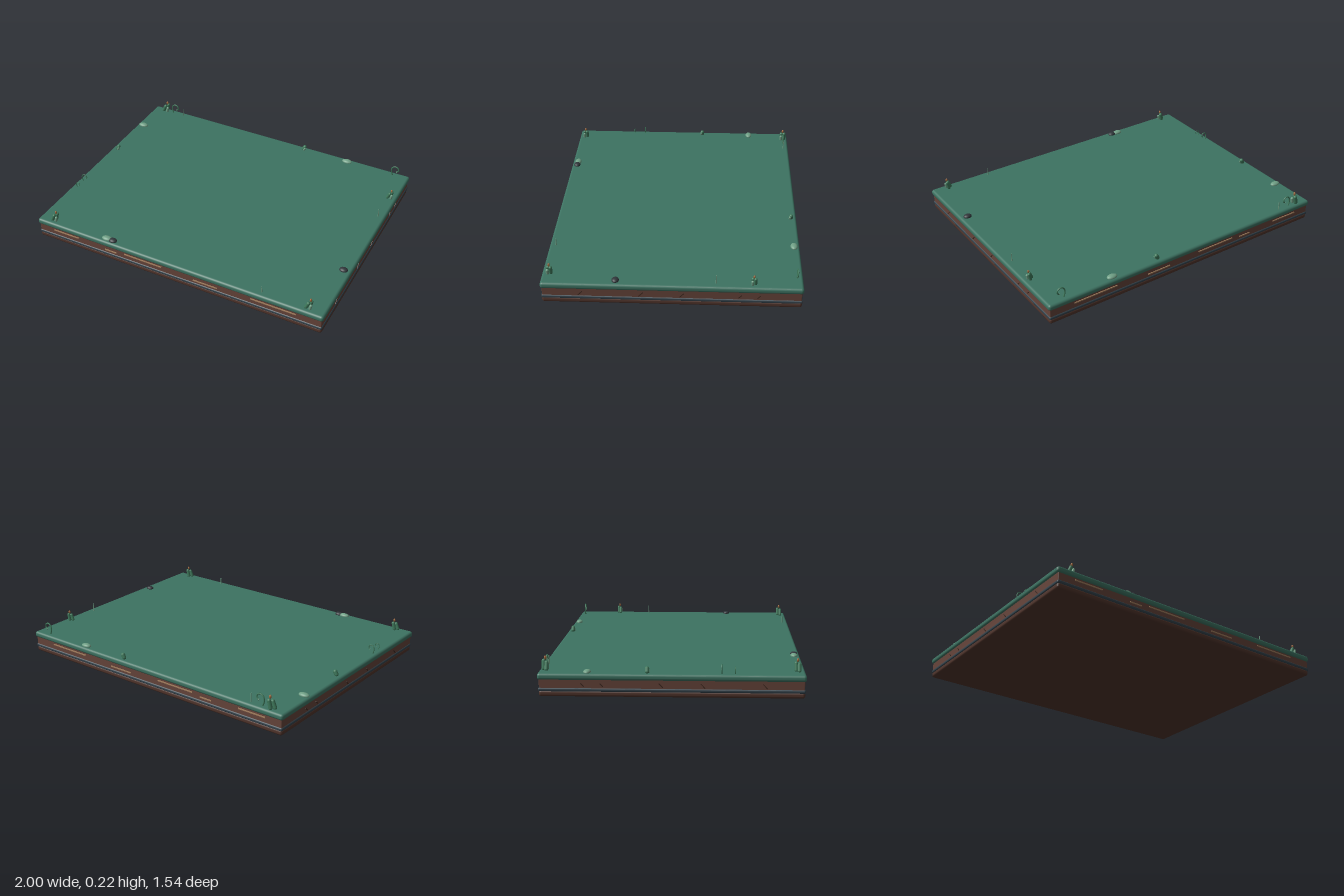
import * as THREE from 'three';
import { RoundedBoxGeometry } from 'three/addons/geometries/RoundedBoxGeometry.js';

const mat = (name, color) => Object.assign(new THREE.MeshStandardMaterial({ color }), { name });

export function createModel() {
  const M = {
    moss: mat('moss green', 0x3d7362),
    body: mat('earth brown', 0x66443a),
    base: mat('dark brown', 0x50342b),
    slate: mat('slate', 0x34434c),
    strip: mat('tan', 0xa5805f),
    groove: mat('groove brown', 0x3c281f),
    leaf: mat('leaf green', 0x3f7a5c),
    pale: mat('pale green', 0x6f9f85),
    stone: mat('dark stone', 0x30363a),
    tip: mat('bud ochre', 0xa0683c),
  };
  const model = new THREE.Group();
  const TOP = 0.137;

  const add = (parent, name, geo, material, x = 0, y = 0, z = 0) => {
    const mesh = new THREE.Mesh(geo, material);
    mesh.name = name;
    mesh.position.set(x, y, z);
    parent.add(mesh);
    return mesh;
  };

  // Stacked slab layers
  const layer = (name, w, d, y0, y1, r, m) =>
    add(model, name, new RoundedBoxGeometry(w, y1 - y0, d, 3, r), m, 0, (y0 + y1) / 2, 0);
  layer('baseLayer', 1.985, 1.525, 0, 0.036, 0.014, M.base);
  layer('slateLayer', 1.99, 1.53, 0.03, 0.052, 0.009, M.slate);
  layer('earthLayer', 1.98, 1.52, 0.045, 0.108, 0.004, M.body);
  layer('mossTop', 2, 1.54, 0.098, TOP, 0.016, M.moss);

  // Tan inlays on front and back: centre x, length, y
  const inlays = [[-0.785, 0.19, 0.084], [-0.45, 0.085, 0.071], [-0.215, 0.27, 0.084],
    [0.225, 0.165, 0.071], [0.68, 0.295, 0.084]];
  for (const s of [1, -1]) {
    for (const [x, len, y] of inlays)
      add(model, 'inlay', new THREE.BoxGeometry(len, 0.007, 0.008), M.strip, x, y, s * 0.761);
    // Slanted grooves on both ends
    for (const [z, len] of [[0.535, 0.036], [0.18, 0.036], [-0.06, 0.036], [-0.4, 0.026], [-0.51, 0.026]]) {
      const g = add(model, 'groove', new THREE.BoxGeometry(0.006, 0.005, len), M.groove, s * 0.99, 0.07, z);
      g.rotation.x = 0.8;
    }
  }

  const plant = (name, x, z) => {
    const g = new THREE.Group();
    g.name = name;
    g.position.set(x, TOP, z);
    model.add(g);
    return g;
  };
  // Leaning rounded blade standing on its base
  const blade = (parent, x, z, h, lean, r, m) => {
    const geo = new THREE.CapsuleGeometry(r, h - 2 * r, 4, 10).translate(0, h / 2 - 0.004, 0);
    add(parent, 'blade', geo, m, x, 0, z).rotation.z = -lean;
  };

  // Sprout clusters with a bud on top: x, z, size
  for (const [x, z, s] of [[-0.91, -0.735, 1.1], [-0.895, 0.725, 1], [0.885, 0.725, 1], [0.95, -0.48, 0.9]]) {
    const g = plant('sproutCluster', x, z);
    g.scale.setScalar(s);
    blade(g, -0.012, 0.008, 0.058, 0.4, 0.011, M.leaf);
    blade(g, 0.006, -0.009, 0.062, 0.25, 0.011, M.leaf);
    blade(g, 0.016, 0.01, 0.042, 0.2, 0.009, M.pale);
    const bud = add(g, 'bud', new THREE.SphereGeometry(0.007, 10, 8), M.tip, 0.016, 0.064, 0);
    bud.scale.y = 1.6;
  }
  // Single stubby leaves
  for (const [x, z] of [[0.215, -0.735], [-0.965, -0.14]]) {
    const g = plant('stubbyLeaf', x, z);
    blade(g, 0, 0, 0.045, 0.5, 0.013, M.leaf);
    blade(g, 0.008, 0.006, 0.032, 0.5, 0.009, M.pale);
  }

  // Curled fronds: x, z, size
  for (const [x, z, s] of [[-0.825, -0.735, 1], [0.9, -0.735, 1], [-0.955, 0.287, 0.75], [-0.955, 0.365, 0.55]]) {
    const g = plant('curledFrond', x, z);
    const pts = [[-0.016, -0.003], [-0.026, 0.03], [-0.02, 0.058], [0, 0.07], [0.02, 0.06], [0.024, 0.042], [0.012, 0.03]];
    const curve = new THREE.CatmullRomCurve3(pts.map(([a, b]) => new THREE.Vector3(a, b, 0)));
    add(g, 'frond', new THREE.TubeGeometry(curve, 28, 0.0045, 7), M.leaf);
    add(g, 'frondTip', new THREE.SphereGeometry(0.0055, 8, 6), M.pale, 0.012, 0.03, 0);
    g.scale.setScalar(s);
  }
  // Thin stems
  for (const [x, z, h] of [[-0.76, -0.735, 0.055], [0.59, 0.73, 0.045], [0.955, -0.26, 0.056]])
    add(plant('thinStem', x, z), 'stem', new THREE.CylinderGeometry(0.0025, 0.004, h, 7), M.pale, 0, h / 2, 0);

  // Flat pebbles: x, z, half width, material
  for (const [x, z, r, m] of [[0.55, -0.735, 0.035, M.pale], [-0.955, -0.485, 0.035, M.pale],
    [-0.49, 0.733, 0.035, M.pale], [-0.445, 0.735, 0.027, M.stone], [0.95, 0.33, 0.027, M.stone]])
    add(model, 'pebble', new THREE.SphereGeometry(1, 18, 12), m, x, TOP + 0.003, z).scale.set(r, 0.014, 0.022);

  return model;
}
